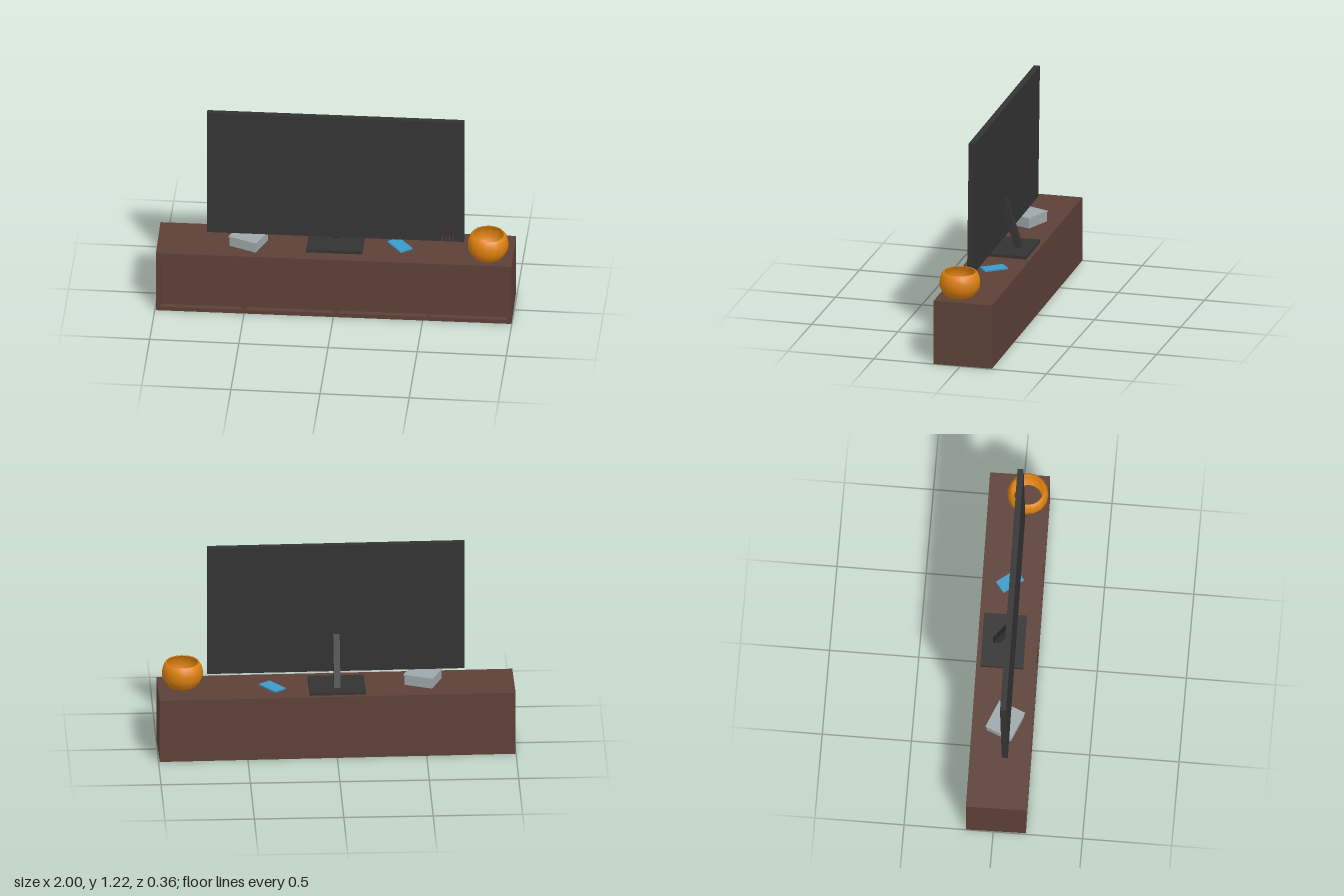
import * as THREE from 'three';

const mat = (name, color, side = THREE.FrontSide) => {
  const m = new THREE.MeshStandardMaterial({ color, side });
  m.name = name;
  return m;
};

export function createModel() {
  const wood = mat('brown wood', 0x5d4037);
  const black = mat('charcoal plastic', 0x333333);
  const orange = mat('orange glaze', 0xdd800f, THREE.DoubleSide);
  const grey = mat('pale grey', 0x9ea7aa);
  const blue = mat('blue', 0x3b9ac9);

  const model = new THREE.Group();
  const turn = 0.0145; // furniture stands slightly askew

  const group = (name, parent = model) => {
    const g = new THREE.Group();
    g.name = name;
    parent.add(g);
    return g;
  };
  const box = (parent, name, material, [w, h, d], [x, y, z]) => {
    const m = new THREE.Mesh(new THREE.BoxGeometry(w, h, d), material);
    m.name = name;
    m.position.set(x, y, z);
    parent.add(m);
    return m;
  };

  // Cabinet: open underneath, with panels set back behind the front frame
  const W = 1.992, H = 0.372, D = 0.336, T = 0.025;
  const cabinet = group('cabinet');
  cabinet.rotation.y = turn;
  box(cabinet, 'cabinetTop', wood, [W, T, D], [0, H - T / 2, 0]);
  for (const s of [-1, 1]) {
    box(cabinet, 'cabinetEnd', wood, [T, H - T, D], [s * (W - T) / 2, (H - T) / 2, 0]);
  }
  const inner = W - 2 * T;
  box(cabinet, 'cabinetBack', wood, [inner, H - T, 0.012], [0, (H - T) / 2, -D / 2 + 0.006]);
  box(cabinet, 'frontPanel', wood, [inner, H - T - 0.005, 0.01], [0, (H - T + 0.005) / 2, D / 2 - 0.035]);
  box(cabinet, 'bottomRail', wood, [inner, T, 0.03], [0, T / 2, D / 2 - 0.015]);
  for (const x of [-0.502, 0.013, 0.53]) {
    box(cabinet, 'divider', wood, [0.022, H - T - 0.005, D - 0.014], [x, (H - T + 0.005) / 2, 0.005]);
  }

  // Television, leaning back a little
  const television = group('television');
  television.rotation.y = turn;
  const screen = group('screen', television);
  screen.position.set(0, 0.835, 0.026);
  screen.rotation.x = -0.0125;
  box(screen, 'screenPanel', black, [1.44, 0.77, 0.034], [0, 0, 0]);
  for (let i = 0; i < 4; i++) {
    box(screen, 'indicatorStripe', wood, [0.005, 0.038, 0.002], [0.6 + i * 0.02, -0.364, 0.0175]);
  }

  // Stand: flat foot and slanted neck
  box(television, 'standFoot', black, [0.315, 0.018, 0.24], [-0.003, H + 0.008, -0.024]);
  const profile = new THREE.Shape([
    [0.015, 0.69], [-0.085, 0.385], [-0.045, 0.385], [0.015, 0.56],
  ].map(([z, y]) => new THREE.Vector2(-z, y)));
  const neckGeo = new THREE.ExtrudeGeometry(profile, { depth: 0.036, bevelEnabled: false });
  neckGeo.rotateY(Math.PI / 2); // profile x becomes -z
  const neck = new THREE.Mesh(neckGeo, black);
  neck.name = 'standNeck';
  neck.position.x = -0.021;
  television.add(neck);

  // Open rounded bowl
  const bowlProfile = [
    [0.08, 0], [0.1, 0.025], [0.114, 0.055], [0.114, 0.09], [0.107, 0.118], [0.094, 0.138], [0.088, 0.136],
  ].map(([r, y]) => new THREE.Vector2(r, y));
  const bowl = new THREE.Mesh(new THREE.LatheGeometry(bowlProfile, 16), orange);
  bowl.name = 'bowl';
  bowl.position.set(0.857, H, 0.041);
  model.add(bowl);

  // Small lidded box
  const caddy = group('smallBox');
  caddy.position.set(-0.487, H, 0.025);
  caddy.rotation.y = -0.386;
  box(caddy, 'smallBoxBody', grey, [0.164, 0.054, 0.154], [0, 0.027, 0]);
  box(caddy, 'smallBoxLid', grey, [0.174, 0.008, 0.162], [0, 0.058, 0]);

  // Thin notepad lying on the cabinet
  const pad = box(model, 'notepad', blue, [0.078, 0.008, 0.138], [0.357, H + 0.004, -0.018]);
  pad.rotation.y = 0.66;

  return model;
}
